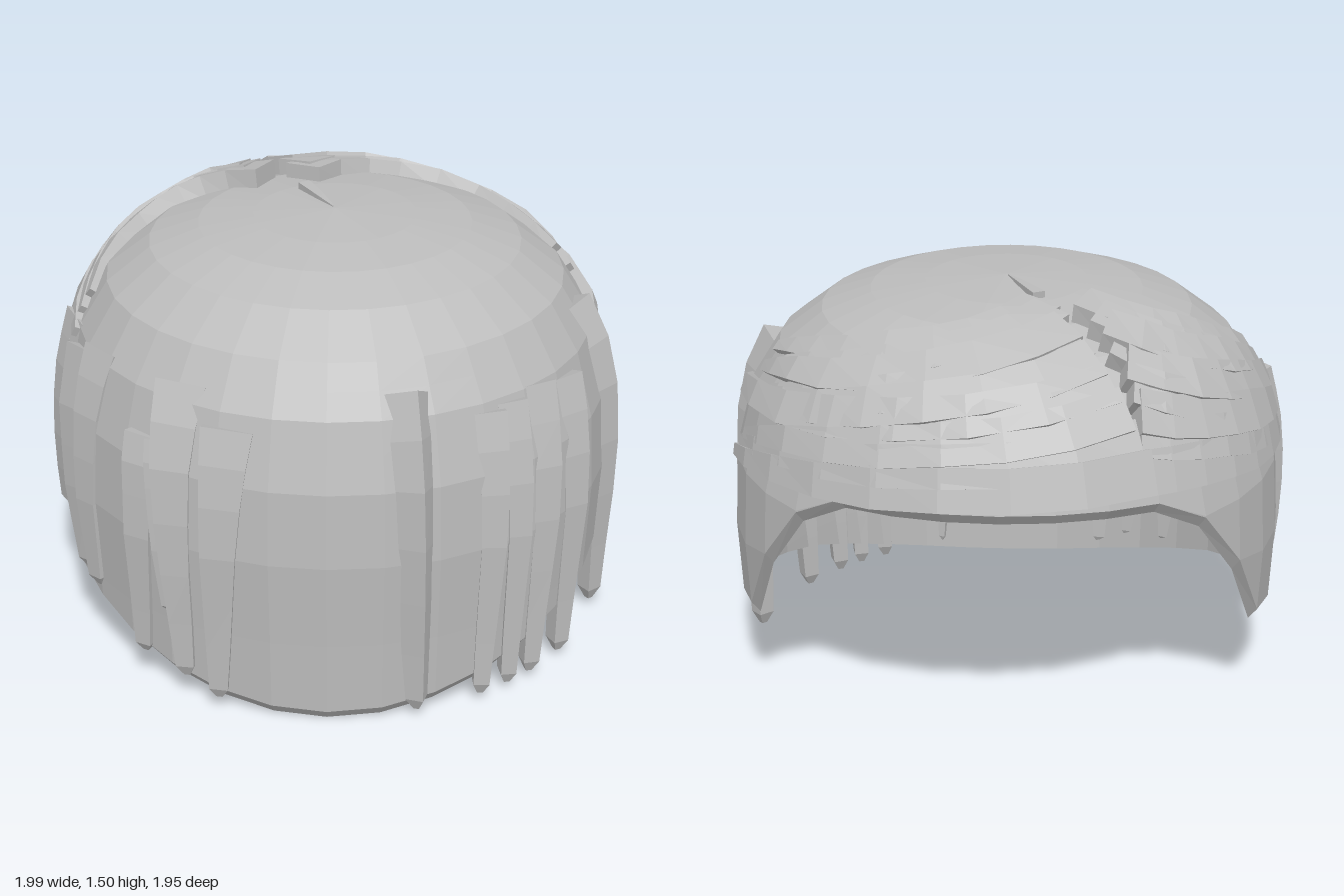
import * as THREE from 'three';

// Dome profile from crown to hem: [radius, height]
const PROFILE = [[0, 1.465], [0.28, 1.45], [0.47, 1.425], [0.64, 1.365], [0.79, 1.25], [0.89, 1.09],
  [0.95, 0.86], [0.965, 0.6], [0.95, 0.3], [0.94, 0]];
// Lower hem height along z, front to back
const HEM = [[0.97, 0], [0.86, 0.06], [0.58, 0.18], [0.2, 0.275], [-0.2, 0.3], [-0.37, 0.33], [-0.54, 0.6],
  [-0.69, 0.82], [-0.8, 0.905], [-0.97, 0.92]];

const lerp = THREE.MathUtils.lerp;
const rad = THREE.MathUtils.degToRad;

// Linear lookup in a list of rows sorted by a falling key
function lookup(table, key, k, v) {
  for (let i = 1; i < table.length; i++) {
    const a = table[i - 1], b = table[i];
    if (key >= b[k]) return lerp(a[v], b[v], THREE.MathUtils.clamp((key - a[k]) / (b[k] - a[k]), 0, 1));
  }
  return table[table.length - 1][v];
}

// Point on the dome: azimuth in degrees from the front, u along the profile
function domePoint(az, u) {
  const i = Math.min(Math.floor(u), PROFILE.length - 2), f = u - i;
  const r = lerp(PROFILE[i][0], PROFILE[i + 1][0], f);
  const y = lerp(PROFILE[i][1], PROFILE[i + 1][1], f);
  return new THREE.Vector3(r * Math.sin(rad(az)), y, r * Math.cos(rad(az)));
}
function domeNormal(az, u) {
  const a = domePoint(0, Math.max(0, Math.min(u, 8.9) - 0.4)), b = domePoint(0, Math.min(8.99, u + 0.4));
  const n = new THREE.Vector3(0, b.z - a.z, a.y - b.y).normalize();
  return n.applyAxisAngle(new THREE.Vector3(0, 1, 0), rad(az));
}
const uOfHeight = (y) => {
  for (let i = 1; i < PROFILE.length; i++) {
    if (y >= PROFILE[i][1]) return i - (y - PROFILE[i][1]) / (PROFILE[i - 1][1] - PROFILE[i][1]);
  }
  return PROFILE.length - 1;
};

// Faceted geometry from a grid of rings; closes each ring, optionally caps the ends
function facet(rings, caps) {
  const pos = [], n = rings[0].length;
  const tri = (...p) => p.forEach((q) => pos.push(q.x, q.y, q.z));
  const quad = (a, b, c, d) => { tri(a, b, c); tri(a, c, d); };
  for (let i = 0; i + 1 < rings.length; i++) {
    for (let j = 0; j < n; j++) {
      const k = (j + 1) % n;
      quad(rings[i][j], rings[i][k], rings[i + 1][k], rings[i + 1][j]);
    }
  }
  if (caps) {
    const s = rings[0], e = rings[rings.length - 1];
    quad(s[0], s[3], s[2], s[1]);
    quad(e[0], e[1], e[2], e[3]);
  }
  const g = new THREE.BufferGeometry();
  g.setAttribute('position', new THREE.Float32BufferAttribute(pos, 3));
  g.computeVertexNormals();
  return g;
}

// Lock of hair with a rectangular section laid along the dome, turned by twist degrees;
// path holds [azimuth, u]
function lockGeometry(path, width, high, low, twist = 0) {
  const pts = path.map(([a, u]) => domePoint(a, u));
  const last = pts.length - 1;
  return facet(pts.map((p, i) => {
    const t = i / last;
    const tangent = pts[Math.min(i + 1, last)].clone().sub(pts[Math.max(i - 1, 0)]).normalize();
    const n = domeNormal(...path[i]);
    const s = n.clone().cross(tangent).normalize();
    s.applyAxisAngle(tangent, rad(twist));
    n.applyAxisAngle(tangent, rad(twist));
    const w = width(t) / 2, h = high(t), l = low(t);
    return [[-w, -l], [w, -l], [w, h], [-w, h]].map(([x, y]) => p.clone().addScaledVector(s, x).addScaledVector(n, y));
  }), true);
}

// Thick shell with a curved, inward-bevelled hem, open over the face at -z
function shellGeometry() {
  const SIDES = 32, DROP = 0.04;
  const heights = [0, 0.15, 0.3, 0.45, 0.6, 0.73, 0.86, 0.98, 1.09, 1.17, 1.25, 1.31, 1.365, 1.425, 1.45, 1.465];
  const ring = (y, inner) => Array.from({ length: SIDES }, (_, j) => {
    const a = j / SIDES * Math.PI * 2;
    const yy = Math.max(y, lookup(HEM, 0.97 * Math.cos(a), 0, 1) + DROP);
    const r = lookup(PROFILE, yy, 1, 0) * (inner ? 0.967 : 1);
    return new THREE.Vector3(r * Math.sin(a), yy - (inner ? DROP : 0), r * Math.cos(a));
  });
  const outer = heights.map((y) => ring(y, false));
  const inner = heights.map((y) => ring(y, true));
  return facet([inner[0], ...outer, ...inner.reverse()], false);
}

// Resample a coarse path to smooth it
function resample(path, count) {
  const curve = new THREE.CatmullRomCurve3(path.map(([a, u]) => new THREE.Vector3(a, u * 20, 0)));
  return curve.getPoints(count).map((p) => [p.x, p.y / 20]);
}

export function createModel() {
  const model = new THREE.Group();
  const grey = new THREE.MeshStandardMaterial({ color: 0xbcbcbc });
  grey.name = 'hair grey';
  const add = (parent, name, geometry) => {
    const mesh = new THREE.Mesh(geometry, grey);
    mesh.name = name;
    parent.add(mesh);
  };
  let seed = 7;
  const rnd = () => (seed = (seed * 16807) % 2147483647) / 2147483647;

  add(model, 'hairCap', shellGeometry());

  // Hanging locks: [top azimuth, tip azimuth, top height, tip height, width, twist]
  const hanging = new THREE.Group();
  hanging.name = 'hangingLocks';
  model.add(hanging);
  const STEPS = [0, 0.12, 0.26, 0.44, 0.62, 0.8, 0.96, 1];
  [[15, 18.5, 1.16, 0.03, 0.16, 36], [35, 33, 1.06, 0.03, 0.11, 28], [41, 40, 1.07, 0.03, 0.1, 28],
    [49, 46.5, 1.09, 0.03, 0.12, 28], [59, 57, 1.06, 0.03, 0.12, 28], [78, 80, 1.19, 0.03, 0.14, 40],
    [-20.5, -22.5, 1.04, 0.05, 0.17, -15], [-33, -30, 1.14, 0.1, 0.17, -18], [-36, -33, 0.95, 0.34, 0.09, -15],
    [-40, -41, 0.95, 0.13, 0.13, -15], [-60, -57, 1.12, 0.27, 0.15, -15], [-72, -62, 1.06, 0.3, 0.13, -15],
    [-82, -81, 1.1, 0.38, 0.16, -20]].forEach(([a0, a1, y0, y1, w, twist]) => {
    const path = STEPS.map((f) => [lerp(a0, a1, f), uOfHeight(lerp(y0, y1, f))]);
    add(hanging, 'hangingLock', lockGeometry(path, (t) => (t === 1 ? 0.02 : lerp(w, 0.045, t)),
      (t) => (t === 1 ? 0.005 : 0.022), (t) => (t === 1 ? 0.015 : lerp(0.075, 0.03, t)), twist));
  });

  // Swept fringe: layers between an upper and a lower path on each side of the parting;
  // azimuths are measured from the face side towards +x, ends holds each layer's tip azimuth
  const fringe = {
    left: {
      upper: [[-20, 1.45], [4, 2.25], [24, 2.8], [46, 3.3], [64, 3.6], [78, 4.0]],
      lower: [[-31, 5.15], [-8, 5.2], [14, 5.25], [36, 5.4], [58, 5.6], [78, 5.9]],
      ends: [77, 74, 78, 70, 79, 96, 72, 74, 78],
    },
    right: {
      upper: [[-38, 1.7], [-49, 2.65], [-60, 3.2], [-70, 3.6], [-82, 4.0], [-95, 4.5]],
      lower: [[-29, 5.15], [-40, 5.2], [-54, 5.3], [-68, 5.45], [-82, 5.55], [-94, 5.6]],
      ends: [-96, -90, -98, -88, -102, -92, -99, -90, -95],
    },
  };
  for (const [side, { upper, lower, ends }] of Object.entries(fringe)) {
    const group = new THREE.Group();
    group.name = side + 'Fringe';
    model.add(group);
    ends.forEach((end, k) => {
      const f = k / (ends.length - 1);
      const tilt = k > 0 && f < 1 ? 0.08 + (rnd() - 0.5) * 0.4 : 0;
      const start = lerp(upper[0][0], lower[0][0], f);
      const reach = (end - start) / (lerp(upper[5][0], lower[5][0], f) - start);
      const path = upper.map(([a, u], i) => [
        180 - (start + (lerp(a, lower[i][0], f) - start) * reach),
        lerp(u, lower[i][1], f) + tilt * (i / 5 - 0.5),
      ]);
      const high = 0.062 + 0.02 * (rnd() - 0.5);
      add(group, 'fringeLock', lockGeometry(resample(path, 8),
        (t) => lerp(0.15, 0.13, t) * (t > 0.5 ? lerp(1, 0.3, (t - 0.5) * 2) : 1),
        (t) => lerp(high, 0.02, t * t), () => 0.03));
    });
  }

  // Small raised wedge leading from the crown to the parting
  add(model, 'partingWedge', lockGeometry([[207, 0.05], [207, 0.4], [207, 0.9]],
    (t) => 0.005 + 0.04 * t, (t) => 0.004 + 0.02 * t, () => 0.02));
  return model;
}
